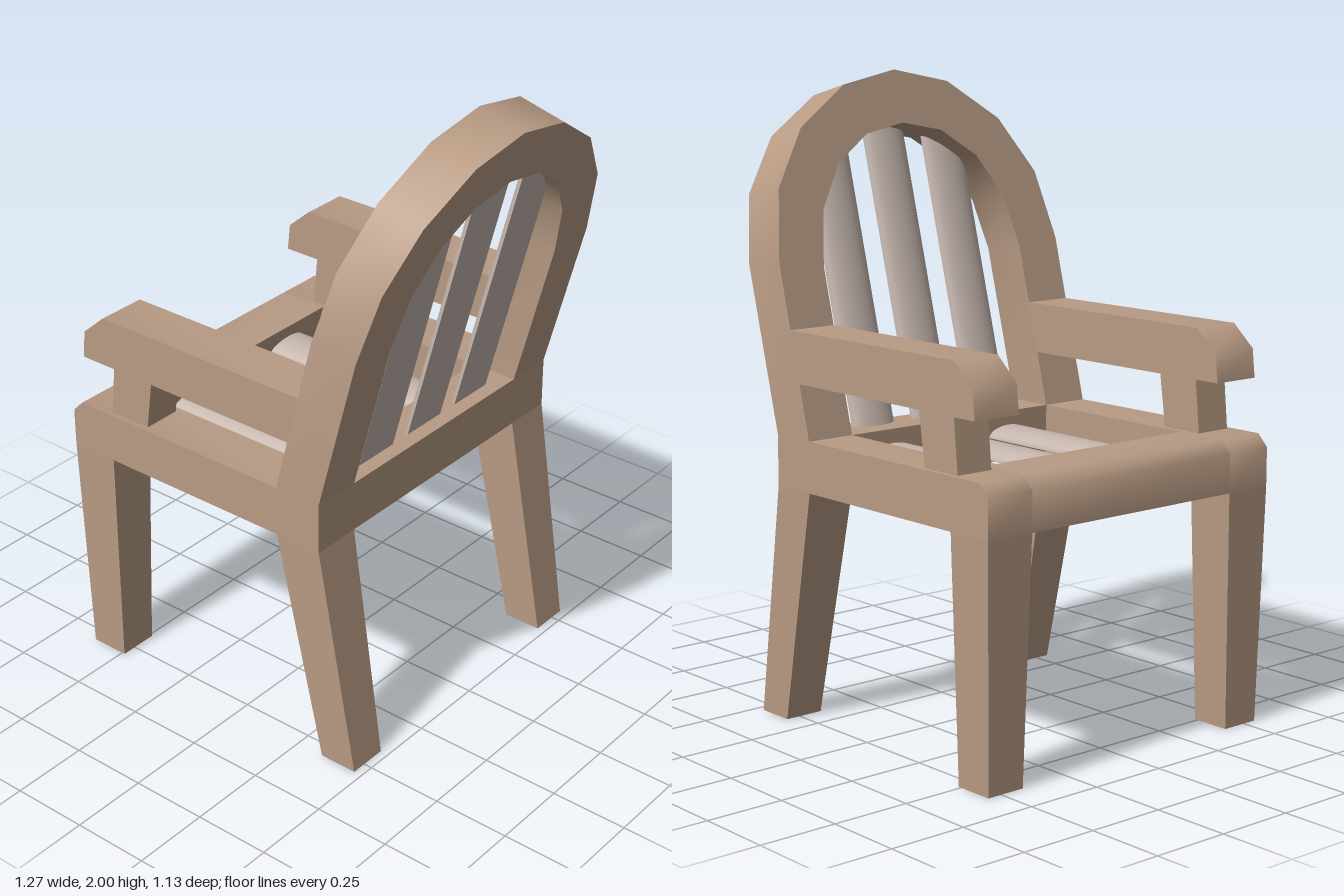
import * as THREE from 'three';
import { toCreasedNormals } from 'three/addons/utils/BufferGeometryUtils.js';

const wood = new THREE.MeshStandardMaterial({ color: 0xb89b84 });
wood.name = 'warm wood';
const slatGrey = new THREE.MeshStandardMaterial({ color: 0xc5b6ae });
slatGrey.name = 'pale slat';

const INNER = 0.4, OUTER = 0.563;

function part(parent, name, geometry, material = wood) {
  const mesh = new THREE.Mesh(geometry, material);
  mesh.name = name;
  parent.add(mesh);
  return mesh;
}

const shapeOf = (points) => new THREE.Shape(points.map(([x, y]) => new THREE.Vector2(x, y)));

// Side profile (x, y) extruded from z0 to z1, soft across its bevels
function profile(points, z0, z1) {
  const g = new THREE.ExtrudeGeometry(shapeOf(points), { depth: z1 - z0, bevelEnabled: false });
  g.translate(0, 0, z0);
  return toCreasedNormals(g, 0.9);
}

// Block whose bottom and top rectangles differ: [x0, x1, z0, z1]
function taperedBlock(y0, y1, bottom, top) {
  const g = new THREE.BoxGeometry(1, 1, 1);
  const p = g.attributes.position;
  for (let i = 0; i < p.count; i++) {
    const upper = p.getY(i) > 0;
    const r = upper ? top : bottom;
    p.setXYZ(i, r[p.getX(i) > 0 ? 1 : 0], upper ? y1 : y0, r[p.getZ(i) > 0 ? 3 : 2]);
  }
  g.computeVertexNormals();
  return g;
}

// Slat along +x with a flat underside and a gently rounded top
function slat(length) {
  const pts = [];
  for (let i = 0; i <= 14; i++) {
    const a = (i / 14) * Math.PI;
    pts.push([0.081 * Math.cos(a), 0.035 * Math.sin(a)]);
  }
  const g = new THREE.ExtrudeGeometry(shapeOf(pts), { depth: length, bevelEnabled: false });
  g.rotateY(Math.PI / 2);
  return toCreasedNormals(g, 0.9);
}

// Leaning arch, drawn as (z, height) and sheared between its front and back planes
function archFrame() {
  const outer = [[0.563, 1.42], [0.52, 1.63], [0.4, 1.8], [0.21, 1.92], [0, 1.96]];
  const inner = [[0.4, 1.4], [0.367, 1.56], [0.28, 1.69], [0.15, 1.773], [0, 1.8]];
  const mirrored = (half) => [...half, ...half.slice(0, -1).reverse().map(([z, y]) => [-z, y])];
  const pts = [
    [OUTER, 0.91], ...mirrored(outer), [-OUTER, 0.91],
    [-INNER, 0.91], ...mirrored(inner).reverse(), [INNER, 0.91],
  ].map(([z, y]) => [z, (y - 0.91) / 1.05]);
  const g = new THREE.ExtrudeGeometry(shapeOf(pts), { depth: 1, bevelEnabled: false });
  const p = g.attributes.position;
  for (let i = 0; i < p.count; i++) {
    const u = p.getX(i), t = p.getY(i), back = p.getZ(i) > 0.5;
    p.setXYZ(i, back ? 0.35 + 0.28 * t : 0.19 + 0.285 * t, 0.91 + (back ? 1.05 : 1.09) * t, -u);
  }
  return toCreasedNormals(g, 0.6);
}

export function createModel() {
  const chair = new THREE.Group();
  chair.name = 'armchair';

  // Seat rails across the width
  part(chair, 'frontRail', profile(
    [[-0.637, 0.75], [-0.47, 0.75], [-0.43, 0.91], [-0.6, 0.91], [-0.637, 0.872]], -INNER, INNER));
  part(chair, 'rearRail', profile(
    [[0.19, 0.75], [0.35, 0.75], [0.35, 0.91], [0.19, 0.91]], -INNER, INNER));

  // Each side: rail, legs, arm post and armrest
  for (const s of [1, -1]) {
    const side = new THREE.Group();
    side.name = s > 0 ? 'leftSide' : 'rightSide';
    chair.add(side);
    const span = (a, b) => (s > 0 ? [a, b] : [-b, -a]);
    const full = span(INNER, OUTER);
    part(side, 'sideRail', profile(
      [[-0.637, 0.75], [0.35, 0.75], [0.35, 0.91], [-0.6, 0.91], [-0.637, 0.872]], ...full));
    const foot = span(0.418, 0.548);
    part(side, 'frontLeg', taperedBlock(0, 0.75, [-0.62, -0.49, ...foot], [-0.637, -0.475, ...full]));
    part(side, 'backLeg', taperedBlock(0, 0.75, [0.345, 0.472, ...foot], [0.19, 0.35, ...full]));
    const post = span(0.42, 0.545);
    part(side, 'armPost', taperedBlock(0.9, 1.09, [-0.486, -0.34, ...post], [-0.468, -0.313, ...post]));
    part(side, 'armrest', profile(
      [[-0.58, 1.08], [0.235, 1.08], [0.28, 1.24], [-0.49, 1.24], [-0.57, 1.17]], ...full));
  }

  // Arched back
  part(chair, 'backFrame', archFrame());

  // Three slats in the seat and three in the back
  for (const z of [-0.235, 0, 0.235]) {
    part(chair, 'seatSlat', slat(0.68), slatGrey).position.set(-0.46, 0.83, z);
    const back = part(chair, 'backSlat', slat(z === 0 ? 1.0 : 0.963), slatGrey);
    back.position.set(0.29, 0.87, z);
    back.rotation.z = 1.31;
  }
  return chair;
}
